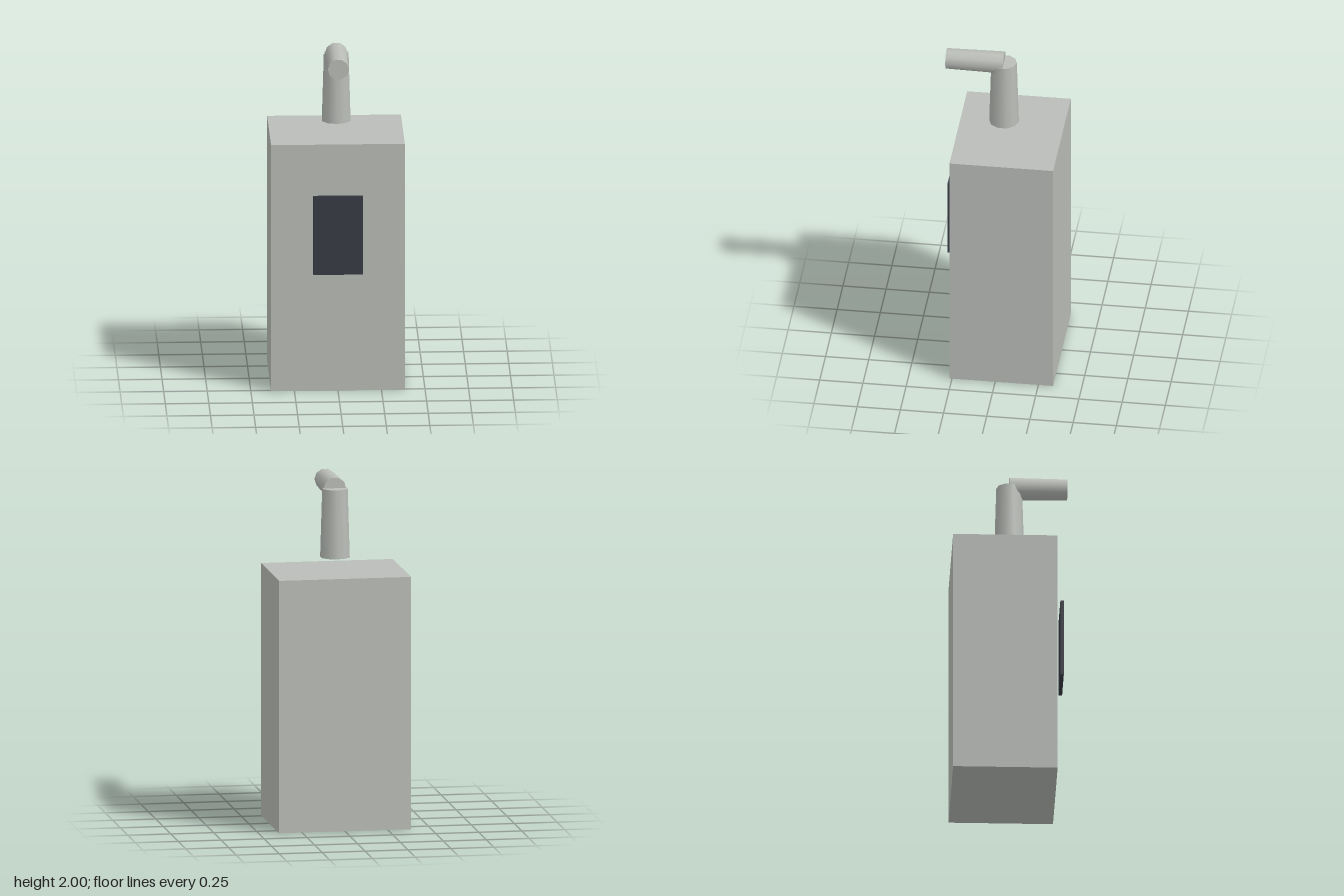
import * as THREE from 'three';

export function createModel() {
  const model = new THREE.Group();
  model.name = 'pumpDispenser';

  const grey = new THREE.MeshStandardMaterial({ color: 0xbabdb8 });
  grey.name = 'light grey';
  const dark = new THREE.MeshStandardMaterial({ color: 0x373b43 });
  dark.name = 'dark slate';

  const add = (name, geometry, material, x, y, z) => {
    const mesh = new THREE.Mesh(geometry, material);
    mesh.name = name;
    mesh.position.set(x, y, z);
    model.add(mesh);
    return mesh;
  };

  // Rectangular container
  add('body', new THREE.BoxGeometry(0.768, 1.47, 0.6), grey, 0, 0.735, -0.035);

  // Panel hovering just in front of the body
  add('frontPanel', new THREE.BoxGeometry(0.286, 0.468, 0.02), dark, 0, 0.938, 0.299);

  // Tapered upright, standing slightly clear of the body
  add('neck', new THREE.CylinderGeometry(0.074, 0.086, 0.4, 10), grey, 0, 1.74, 0);

  // Tapered spout pointing forward, flat facet on top
  const spout = new THREE.CylinderGeometry(0.061, 0.066, 0.333, 10);
  spout.rotateY(Math.PI / 2).rotateX(Math.PI / 2);
  add('spout', spout, grey, 0, 1.937, 0.1665);

  return model;
}
